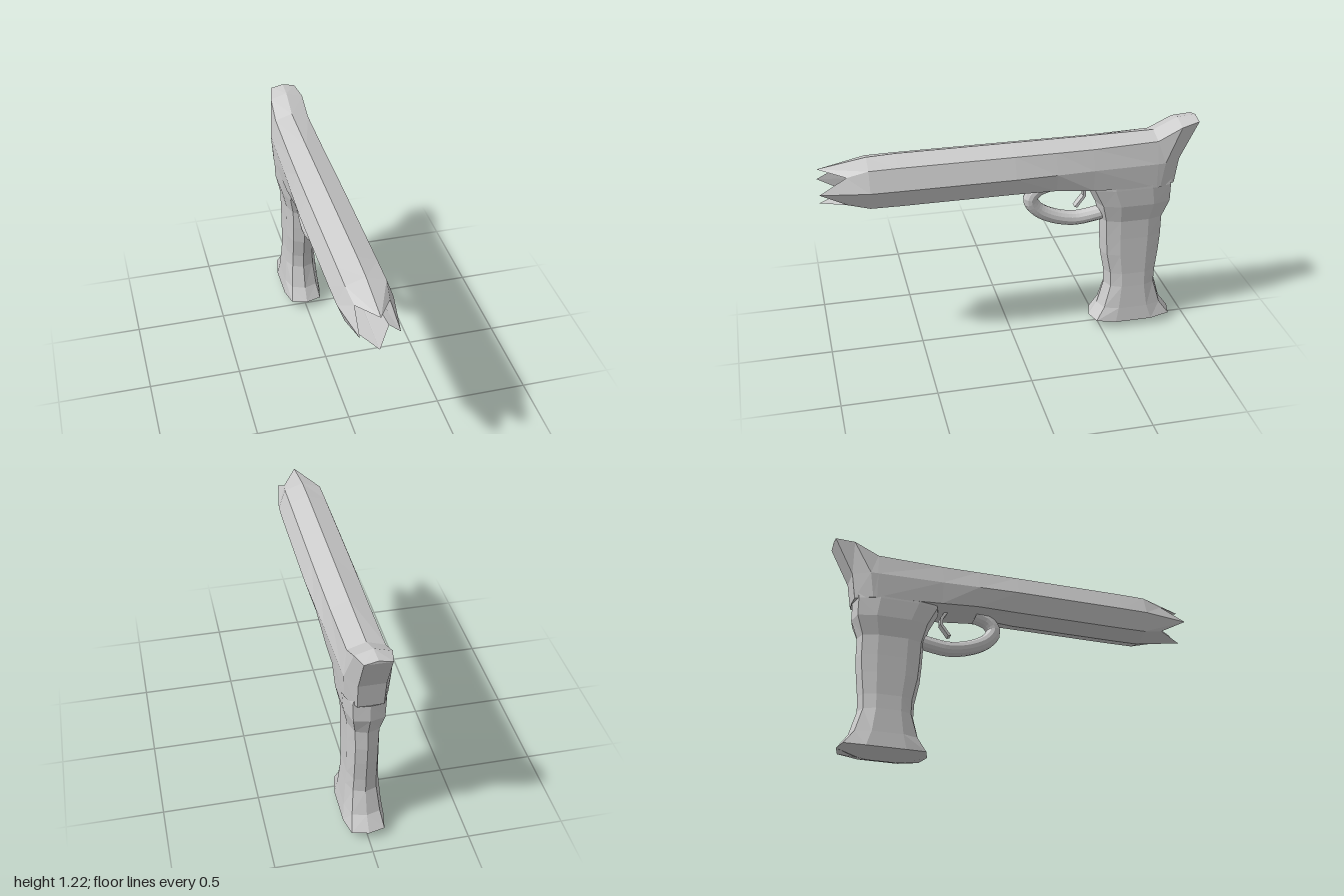
import * as THREE from 'three';

const material = new THREE.MeshStandardMaterial({ color: 0xcccccc, flatShading: true });

function addMesh(group, name, geometry) {
  const mesh = new THREE.Mesh(geometry, material);
  mesh.name = name;
  group.add(mesh);
}

// Skins half cross-sections (first and last point on x = 0), mirrored across x.
function loftMirrored(halfRings) {
  const rings = halfRings.map((half) => [
    ...half,
    ...half.slice(1, -1).reverse().map(([x, y, z]) => [-x, y, z]),
  ]);
  const count = rings[0].length;
  const mirrorStart = halfRings[0].length - 1;
  const positions = [];
  for (let i = 0; i < rings.length - 1; i++) {
    for (let j = 0; j < count; j++) {
      const k = (j + 1) % count;
      const a = rings[i][j], b = rings[i][k], c = rings[i + 1][k], d = rings[i + 1][j];
      // The diagonal flips on the mirrored half to keep both sides alike
      const corners = j < mirrorStart ? [a, b, c, a, c, d] : [a, b, d, b, c, d];
      corners.forEach((p) => positions.push(...p));
    }
  }
  const geometry = new THREE.BufferGeometry();
  geometry.setAttribute('position', new THREE.Float32BufferAttribute(positions, 3));
  geometry.computeVertexNormals();
  return geometry;
}

// Barrel: from the bore, over the pointed muzzle teeth, back to the raised rear
function barrelGeometry() {
  const section = (z, top, shoulderX, shoulderY, sideX, lowX, lowY, bottom) => [
    [0, top, z], [shoulderX, shoulderY, z], [sideX, 1, z], [lowX, lowY, z], [0, bottom, z],
  ];
  const rear = [
    [0, 1.215, -1], [0.068, 1.2, -1], [0.068, 1, -0.9], [0.065, 0.86, -0.88], [0, 0.86, -0.885],
  ];
  return loftMirrored([
    section(0.2, 0.985, 0.008, 0.983, 0.015, 0.008, 0.972, 0.97),
    [[0, 1.1, 1], [0.085, 1.077, 0.86], [0.097, 1, 1], [0.085, 0.925, 0.86], [0, 0.91, 1]],
    section(0.75, 1.142, 0.1, 1.108, 0.138, 0.1, 0.9, 0.867),
    section(0.6, 1.148, 0.1, 1.11, 0.14, 0.1, 0.898, 0.865),
    section(0, 1.148, 0.1, 1.11, 0.14, 0.1, 0.898, 0.865),
    section(-0.22, 1.148, 0.099, 1.11, 0.133, 0.105, 0.897, 0.88),
    section(-0.42, 1.148, 0.097, 1.11, 0.125, 0.113, 0.88, 0.875),
    section(-0.77, 1.15, 0.093, 1.12, 0.117, 0.11, 0.86, 0.86),
    [[0, 1.21, -0.9], [0.09, 1.183, -0.9], [0.115, 1, -0.81], [0.108, 0.86, -0.79], [0, 0.86, -0.8]],
    rear,
    rear.map(([, y, z]) => [0, y, z]),
  ]);
}

// Grip: keeled base, flared foot, waisted handle, widening into the barrel
function gripGeometry() {
  // y, front z, back z, panel half width, full half width
  const levels = [
    [0.045, -0.45, -0.915, 0.085, 0.107],
    [0.12, -0.495, -0.86, 0.072, 0.097],
    [0.25, -0.53, -0.822, 0.06, 0.086],
    [0.33, -0.527, -0.825, 0.057, 0.081],
    [0.45, -0.503, -0.838, 0.057, 0.081],
    [0.55, -0.495, -0.845, 0.057, 0.081],
    [0.66, -0.49, -0.845, 0.06, 0.083],
    [0.76, -0.465, -0.88, 0.078, 0.105],
    [0.86, -0.415, -0.88, 0.082, 0.111],
    [0.93, -0.41, -0.888, 0.068, 0.113],
  ];
  const rings = levels.map(([y, front, back, panel, width]) => {
    const inset = (front - back) * 0.28;
    const rim = y < 0.1 ? 0.008 : 0;
    return [
      [0, y, front], [panel, y, front - 0.025], [width, y - rim, front - inset],
      [width, y - rim, back + inset], [panel, y, back + 0.02], [0, y, back],
    ];
  });
  const keel = [-0.55, -0.56, -0.62, -0.75, -0.81, -0.82].map((z, i) =>
    [0, i === 2 || i === 3 ? 0 : 0.01, z]);
  return loftMirrored([keel, ...rings]);
}

// Curled guard below the barrel
function guardGeometry() {
  const path = new THREE.CatmullRomCurve3([
    [0, 0.89, -0.21], [0, 0.865, -0.14], [0, 0.815, -0.105], [-0.006, 0.75, -0.14],
    [-0.011, 0.695, -0.23], [-0.012, 0.667, -0.35], [-0.006, 0.68, -0.45], [0, 0.7, -0.53],
  ].map((p) => new THREE.Vector3(...p)));
  return new THREE.TubeGeometry(path, 28, 0.04, 12, false);
}

// Thin bent trigger blade, drawn in (-z, y) and extruded across x
function triggerGeometry() {
  const outline = [
    [0.355, 0.9], [0.375, 0.9], [0.405, 0.845], [0.407, 0.805], [0.36, 0.742],
    [0.345, 0.747], [0.392, 0.808], [0.39, 0.84],
  ].map((p) => new THREE.Vector2(...p));
  const geometry = new THREE.ExtrudeGeometry(new THREE.Shape(outline), {
    depth: 0.04, bevelEnabled: false,
  });
  geometry.translate(0, 0, -0.02);
  geometry.rotateY(Math.PI / 2);
  return geometry;
}

export function createModel() {
  const group = new THREE.Group();
  group.name = 'pistol';
  addMesh(group, 'barrel', barrelGeometry());
  addMesh(group, 'grip', gripGeometry());
  addMesh(group, 'triggerGuard', guardGeometry());
  addMesh(group, 'trigger', triggerGeometry());
  return group;
}
